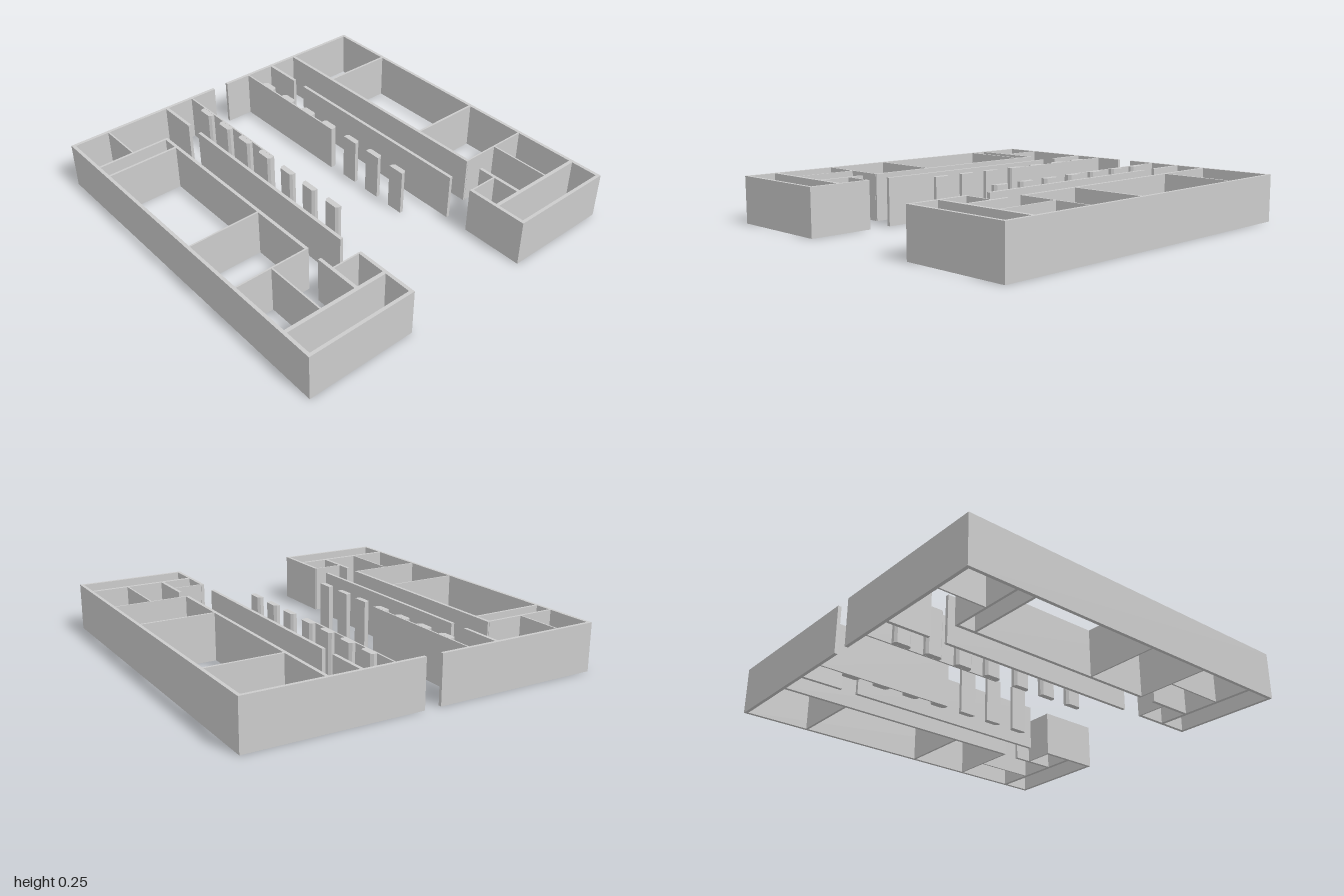
import * as THREE from 'three';

const H = 0.255; // wall height
const T = 0.018; // main wall thickness
const THIN = 0.009; // partition thickness
const MID = 0.013;

export function createModel() {
  const model = new THREE.Group();
  model.name = 'floorPlan';
  const material = new THREE.MeshStandardMaterial({ color: 0xcccccc, flatShading: true });

  const add = (parent, name, geometry) => {
    const mesh = new THREE.Mesh(geometry, material);
    mesh.name = name;
    parent.add(mesh);
    return mesh;
  };
  const wall = (parent, name, x0, x1, z0, z1) =>
    add(parent, name, new THREE.BoxGeometry(Math.abs(x1 - x0), H, z1 - z0))
      .position.set((x0 + x1) / 2, H / 2, (z0 + z1) / 2);

  // Plan of each wing: distances from the centre line, then mirrored by side
  const wings = [
    {
      name: 'rightWing', side: -1, outer: 0.959, inner: 0.544, corridor: 0.374,
      gap: 0.05, innerStart: -0.732, corridorRuns: [[-0.99, -0.755], [-0.66, 0.52], [0.645, 0.99]],
      rooms: [[-0.727, MID], [-0.627, MID], [0.101, THIN], [0.467, THIN]],
      dividers: [[-0.99, -0.727], [0.467, 0.82]], closet: 0.648,
      hall: 0.207, pillar: 0.212,
    },
    {
      name: 'leftWing', side: 1, outer: 0.956, inner: 0.544, corridor: 0.371,
      gap: 0.04, innerStart: -0.99, corridorRuns: [[-0.99, -0.76], [-0.67, 0.515], [0.65, 0.99]],
      rooms: [[-0.627, MID], [0.106, MID], [0.467, THIN]],
      dividers: [[0.467, 0.82]], closet: 0.657,
      hall: 0.198, pillar: 0.201,
    },
  ];

  for (const w of wings) {
    const wing = new THREE.Group();
    wing.name = w.name;
    model.add(wing);
    const across = (name, a, b, z, t) => wall(wing, name, w.side * a, w.side * b, z - t / 2, z + t / 2);
    const along = (name, x, z0, z1, t) => wall(wing, name, w.side * x - t / 2, w.side * x + t / 2, z0, z1);

    // Outer shell
    along('outerWall', w.outer, -1, 1, T);
    across('backWall', w.gap, w.outer, -0.991, T);
    across('frontWall', w.corridor - T / 2, w.outer, 0.991, T);
    across('frontRoomWall', w.corridor, w.outer, 0.822, 0.02);

    // Room side and corridor side, with door gaps
    along('innerWall', w.inner, w.innerStart, 0.471, T);
    along('stairRoomWall', w.inner, 0.56, 0.82, T);
    for (const [a, b] of w.corridorRuns) along('corridorWall', w.corridor, a, b, T);

    // Room partitions
    for (const [z, t] of w.rooms) across('roomPartition', w.inner, w.outer, z, t);
    for (const [a, b] of w.dividers) along('roomDivider', 0.75, a, b, THIN);
    across('closetPartition', w.corridor, w.inner, w.closet, THIN);

    // Long wall beside the central stair hall
    along('hallWall', w.hall, -0.99, -0.22, THIN);

    // Pillars with chamfered outer corners
    const s = w.side;
    const points = [[0, -0.047], [0.018, -0.047], [0.031, -0.036], [0.031, 0.036], [0.018, 0.047], [0, 0.047]]
      .map(([x, z]) => new THREE.Vector2(s * x, z));
    for (const z of [-0.803, -0.625, -0.445, -0.265, 0.077 * -1, 0.101, 0.283]) {
      const geometry = new THREE.ExtrudeGeometry(new THREE.Shape(points), { depth: H, bevelEnabled: false });
      geometry.rotateX(-Math.PI / 2);
      add(wing, 'pillar', geometry).position.set(s * w.pillar, 0, z);
    }
  }
  return model;
}
